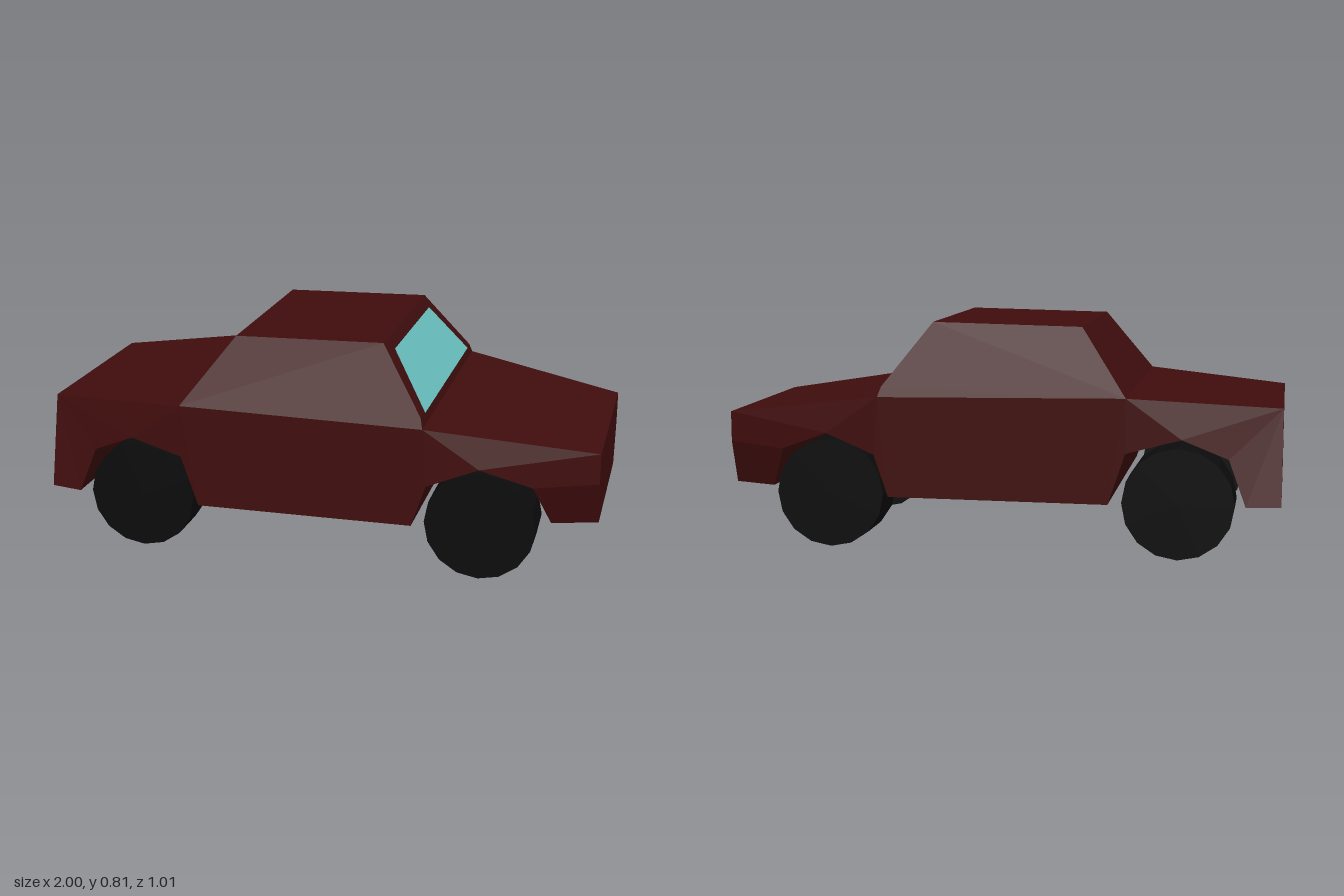
import * as THREE from 'three';

const paint = new THREE.MeshStandardMaterial({ color: 0x400d0d, flatShading: true });
const rubber = new THREE.MeshStandardMaterial({ color: 0x0c0c0c, flatShading: true });
const glass = new THREE.MeshStandardMaterial({ color: 0x6cc5c5, flatShading: true, side: THREE.DoubleSide });

// Side outline, counter-clockwise: [x, y, half width]
const outline = [
  [-1, 0.53, 0.365],     // 0 tail top
  [-1, 0.2, 0.445],      // 1 tail bottom
  [-0.88, 0.2, 0.47],    // 2 rear arch
  [-0.82, 0.36, 0.45],
  [-0.66, 0.43, 0.487],
  [-0.47, 0.38, 0.505],
  [-0.41, 0.2, 0.505],   // 6 sill
  [0.37, 0.2, 0.505],
  [0.42, 0.35, 0.505],   // 8 front arch
  [0.6, 0.42, 0.487],
  [0.78, 0.35, 0.43],
  [0.84, 0.2, 0.36],
  [1, 0.2, 0.31],        // 12 nose
  [1, 0.36, 0.362],
  [1, 0.47, 0.362],
  [0.405, 0.555, 0.505], // 15 windscreen base
  [0.395, 0.59, 0.485],
  [0.235, 0.81, 0.36],   // 17 roof
  [-0.3, 0.8, 0.36],
  [-0.47, 0.57, 0.505],  // 19 boot lid edge
];

// Side panel triangles, as seen from +z
const panels = [
  [0, 1, 2], [0, 2, 3], [0, 3, 4], [0, 4, 19], [19, 4, 5], [19, 5, 6], [19, 6, 7], [19, 7, 15],
  [15, 7, 8], [15, 8, 9], [15, 9, 14], [9, 10, 14], [10, 13, 14], [10, 11, 13], [11, 12, 13],
  [19, 15, 16], [19, 16, 17], [19, 17, 18],
];

function meshFromTriangles(name, positions, material) {
  const geometry = new THREE.BufferGeometry();
  geometry.setAttribute('position', new THREE.Float32BufferAttribute(positions, 3));
  geometry.computeVertexNormals();
  const mesh = new THREE.Mesh(geometry, material);
  mesh.name = name;
  return mesh;
}

// Mirrored side panels joined by strips running across the car
function createBody() {
  const positions = [];
  const add = (i, side) => {
    const [x, y, w] = outline[i];
    positions.push(x, y, w * side);
  };
  for (const [a, b, c] of panels) {
    add(a, 1); add(b, 1); add(c, 1);
    add(a, -1); add(c, -1); add(b, -1);
  }
  outline.forEach((_, i) => {
    const j = (i + 1) % outline.length;
    add(i, 1); add(i, -1); add(j, -1);
    add(i, 1); add(j, -1); add(j, 1);
  });
  return meshFromTriangles('body', positions, paint);
}

// Trapezoid pane lying just above the sloping front of the cabin
function createWindscreen() {
  const bottom = [0.399, 0.59, 0.425], top = [0.264, 0.777, 0.305];
  const corners = [[bottom, 1], [bottom, -1], [top, -1], [top, 1]];
  const positions = [0, 1, 2, 0, 2, 3].flatMap((i) => {
    const [[x, y, w], side] = corners[i];
    return [x, y, w * side];
  });
  return meshFromTriangles('windscreen', positions, glass);
}

export function createModel() {
  const car = new THREE.Group();
  car.name = 'car';
  car.add(createBody(), createWindscreen());

  // Four wheels
  const wheelGeometry = new THREE.CylinderGeometry(0.196, 0.196, 0.175, 16).rotateX(Math.PI / 2);
  for (const [label, x] of [['rear', -0.647], ['front', 0.6]]) {
    for (const side of [1, -1]) {
      const wheel = new THREE.Mesh(wheelGeometry, rubber);
      wheel.name = `${label}Wheel`;
      wheel.position.set(x, 0.196, side * 0.3575);
      car.add(wheel);
    }
  }
  return car;
}
